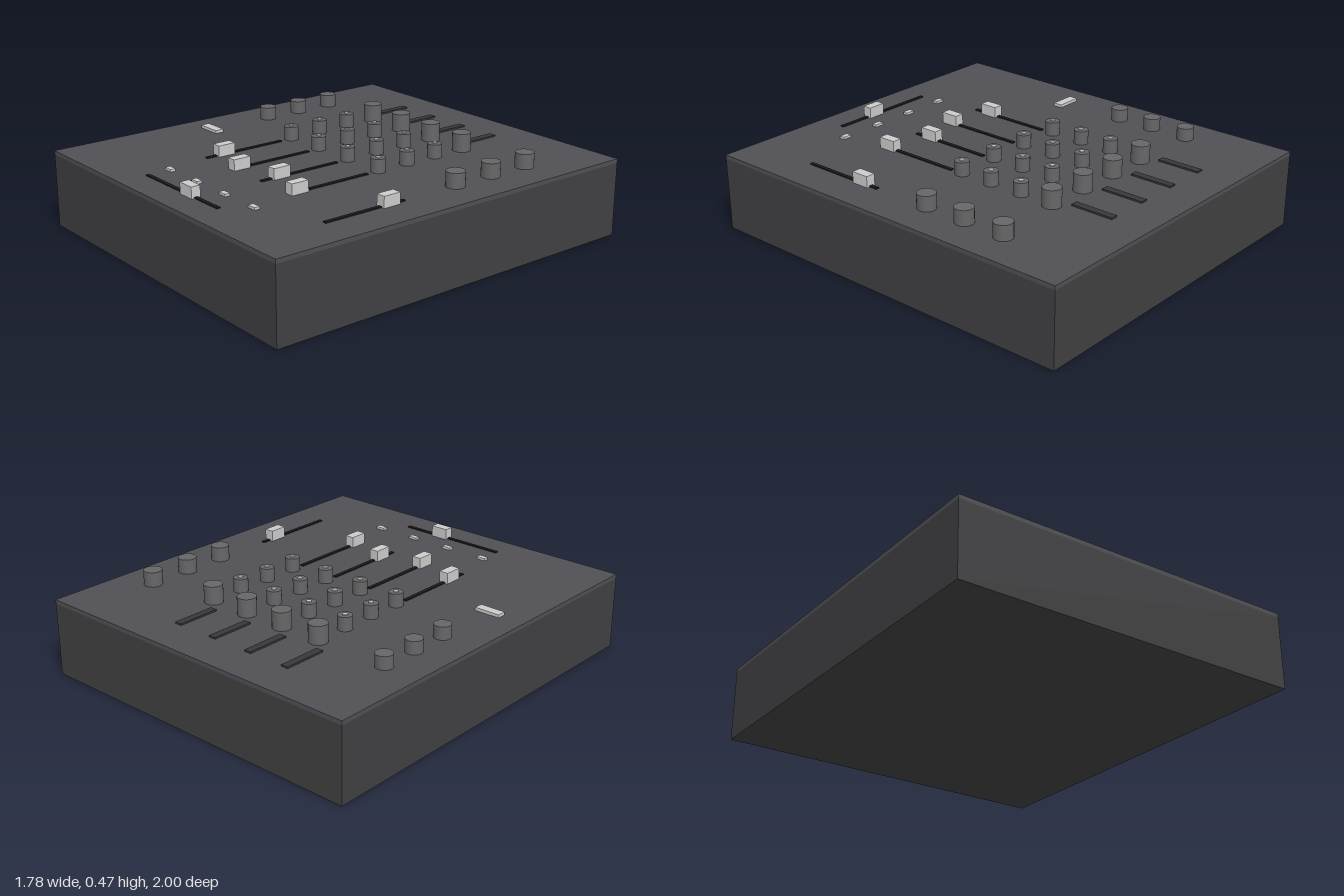
import * as THREE from 'three';

const material = (color) => new THREE.MeshStandardMaterial({ color });
const DECK = 0.38; // height of the top panel

export function createModel() {
  const model = new THREE.Group();
  model.name = 'mixer';
  const body = material(0x404042);
  const panel = material(0x504f54);
  const dark = material(0x1c1c1e);
  const grey = material(0x38383a);
  const knobGrey = material(0x666668);
  const light = material(0xcccccc);

  // Box standing on height y
  function box(name, mat, x, z, w, h, d, y = DECK) {
    const mesh = new THREE.Mesh(new THREE.BoxGeometry(w, h, d), mat);
    mesh.name = name;
    mesh.position.set(x, y + h / 2, z);
    model.add(mesh);
  }

  // Upright cylinder standing on height y
  function disc(name, mat, x, z, r, h, y = DECK) {
    const mesh = new THREE.Mesh(new THREE.CylinderGeometry(r, r, h, 24), mat);
    mesh.name = name;
    mesh.position.set(x, y + h / 2, z);
    model.add(mesh);
  }

  // Housing and top panel
  box('housing', body, 0, 0, 1.776, 0.362, 2, 0);
  box('topPanel', panel, 0, 0, 1.776, 0.02, 2, 0.362);

  // Four channel strips
  const capZ = [0.4, 0.465, 0.4, 0.465];
  for (let i = 0; i < 4; i++) {
    const x = -0.329 + i * 0.218;
    box('inputSlot', grey, x - 0.071, -0.702, 0.037, 0.01, 0.217);
    disc('gainKnob', knobGrey, x, -0.526, 0.045, 0.091);
    for (const z of [-0.351, -0.176, 0]) {
      disc('toneKnob', knobGrey, x, z, 0.035, 0.07);
      disc('toneKnobDot', light, x, z, 0.012, 0.005, DECK + 0.07);
    }
    box('channelFaderSlot', dark, x, 0.283, 0.018, 0.008, 0.437);
    box('channelFaderCap', light, x, capZ[i], 0.048, 0.057, 0.091);
    box('cueButton', light, x + 0.046, 0.73, 0.047, 0.014, 0.027);
  }

  // Left column: knobs and a wide button
  for (const z of [-0.526, -0.329, -0.132]) disc('leftKnob', knobGrey, -0.701, z, 0.041, 0.065);
  box('wideButton', light, -0.702, 0.216, 0.13, 0.017, 0.046);

  // Right column: knobs and the effect fader
  for (const z of [-0.57, -0.351, -0.132]) disc('rightKnob', knobGrey, 0.696, z, 0.045, 0.075);
  box('effectFaderSlot', dark, 0.696, 0.39, 0.018, 0.008, 0.437);
  box('effectFaderCap', light, 0.696, 0.26, 0.048, 0.057, 0.091);

  // Crossfader
  box('crossfaderSlot', dark, -0.002, 0.849, 0.566, 0.008, 0.018);
  box('crossfaderCap', light, 0.064, 0.849, 0.091, 0.057, 0.046);

  return model;
}
